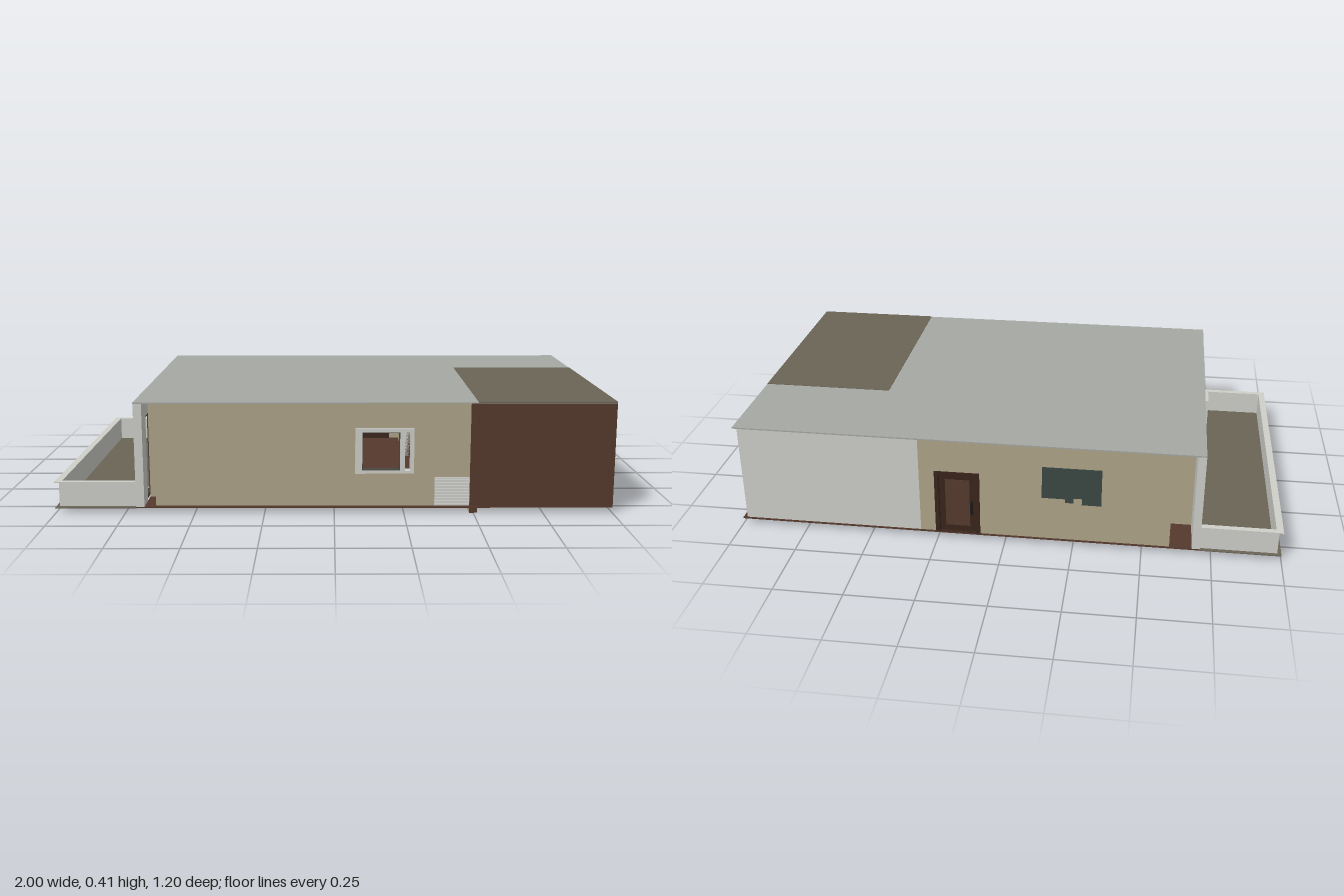
import * as THREE from 'three';

const mat = (name, color, side = THREE.FrontSide) => {
  const m = new THREE.MeshStandardMaterial({ color, side });
  m.name = name;
  return m;
};

export function createModel() {
  const white = mat('white plaster', 0xcfd0ca);
  const roofGrey = mat('roof grey', 0xa6a8a4);
  const beige = mat('beige plaster', 0xb0a58a);
  const brown = mat('brown', 0x563a2d);
  const olive = mat('olive brown', 0x6b6557);
  const doorBrown = mat('door brown', 0x3a251b);
  const frameDark = mat('dark frame', 0x4a4741);
  const glass = mat('dark glass', 0x3b4744);
  const black = mat('black', 0x1c1a19);

  const model = new THREE.Group();
  model.name = 'apartment';

  // Box given by its limits on each axis
  const box = (name, m, x0, x1, y0, y1, z0, z1, parent = model) => {
    const b = new THREE.Mesh(new THREE.BoxGeometry(x1 - x0, y1 - y0, z1 - z0), m);
    b.position.set((x0 + x1) / 2, (y0 + y1) / 2, (z0 + z1) / 2);
    b.name = name;
    parent.add(b);
    return b;
  };
  const rect = (C, u0, u1, y0, y1) => {
    const s = new C();
    s.moveTo(u0, y0); s.lineTo(u1, y0); s.lineTo(u1, y1); s.lineTo(u0, y1); s.closePath();
    return s;
  };
  // Pierced panel; axis 'x' runs along x from depth d toward +z,
  // axis 'z' runs along z from depth d toward -x
  const panel = (name, m, axis, d, t, lim, holes = []) => {
    const s = rect(THREE.Shape, ...lim);
    holes.forEach(h => s.holes.push(rect(THREE.Path, ...h)));
    const p = new THREE.Mesh(new THREE.ExtrudeGeometry(s, { depth: t, bevelEnabled: false }), m);
    if (axis === 'z') { p.rotation.y = -Math.PI / 2; p.position.x = d; } else p.position.z = d;
    p.name = name;
    model.add(p);
    return p;
  };
  const F = 0.025, T = 0.4;

  // Floor and roof
  box('floor', brown, -0.71, 1, 0.02, F, -0.595, 0.595);
  box('roof', roofGrey, -0.71, 1, T, 0.405, -0.595, 0.595);
  box('roofPatch', olive, 0.51, 1, 0.403, 0.4065, -0.21, 0.596);

  // Front wall with window opening
  panel('frontWall', beige, 'x', 0.555, 0.025, [-0.64, 0.495, F, T], [[0.09, 0.275, 0.15, 0.3]]);
  panel('frontWindowFrame', white, 'x', 0.55, 0.04, [0.075, 0.285, 0.145, 0.31], [[0.1, 0.235, 0.155, 0.295], [0.252, 0.272, 0.155, 0.295]]);
  panel('frontWindowSash', frameDark, 'x', 0.56, 0.02, [0.098, 0.237, 0.153, 0.297], [[0.103, 0.232, 0.158, 0.292]]);
  box('ventPanel', white, 0.36, 0.49, F, 0.13, 0.58, 0.584);
  for (let i = 0; i < 9; i++) box('ventSlat', white, 0.36, 0.49, 0.03 + i * 0.011, 0.035 + i * 0.011, 0.584, 0.589);

  // Brown room shell
  box('brownFront', brown, 0.515, 1, F, T, 0.575, 0.595);
  box('brownRight', brown, 0.98, 1, F, T, -0.2, 0.595);
  const lamp = new THREE.Mesh(new THREE.ExtrudeGeometry(
    new THREE.Shape([[0.018, 0.093], [0.055, 0.093], [0.06, 0.135], [0.013, 0.135]].map(p => new THREE.Vector2(...p))),
    { depth: 0.005, bevelEnabled: false }), white);
  lamp.rotation.y = -Math.PI / 2;
  lamp.position.x = 1.003;
  lamp.name = 'wallLamp';
  model.add(lamp);

  // Inner walls, reaching just below the floor
  const twoTone = [brown, beige, beige, beige, brown, beige];
  box('partitionSide', twoTone, 0.485, 0.513, 0, T, -0.03, 0.59);
  box('partitionSideEnd', twoTone, 0.485, 0.513, 0, T, -0.205, -0.18);
  box('partitionLintel', twoTone, 0.485, 0.513, 0.3, T, -0.18, -0.03);
  box('partitionRear', [beige, beige, white, white, brown, white], 0.3, 0.988, 0, T, -0.222, -0.2);
  box('rearDoorEdge', brown, 0.98, 0.992, F, 0.32, -0.22, -0.2);
  box('frontEdgeTrim', brown, 0.49, 0.515, F, 0.32, 0.585, 0.592);
  box('bedroomPartition', [white, beige, white, beige, white, white], 0.3, 0.33, 0.01, T, -0.575, -0.2);

  // Bedroom outer walls and window
  panel('bedroomRightWall', white, 'z', 0.985, 0.02, [-0.59, -0.222, F, T], [[-0.475, -0.325, 0.185, 0.335]]);
  panel('sideWindowFrame', white, 'z', 0.995, 0.035, [-0.485, -0.315, 0.175, 0.345], [[-0.475, -0.45, 0.185, 0.335], [-0.44, -0.327, 0.185, 0.335]]);
  panel('sideWindowSash', white, 'z', 0.985, 0.015, [-0.442, -0.325, 0.183, 0.337], [[-0.435, -0.332, 0.19, 0.33]]);
  box('bedroomRearWall', white, 0.315, 0.985, F, T, -0.59, -0.57);

  // Rear wall, entrance door and dark window
  panel('rearWall', beige, 'x', -0.59, 0.02, [-0.6, 0.315, F, T], [[0.1, 0.25, F, 0.268]]);
  panel('doorFrame', doorBrown, 'x', -0.594, 0.03, [0.092, 0.258, F, 0.276], [[0.108, 0.242, F + 0.002, 0.262]]);
  box('entranceDoor', doorBrown, 0.108, 0.242, F, 0.262, -0.582, -0.57);
  box('doorPanel', brown, 0.13, 0.22, 0.05, 0.24, -0.585, -0.582);
  box('doorHandle', black, 0.118, 0.126, 0.105, 0.155, -0.6, -0.584);
  const pane = new THREE.Shape([[-0.35, 0.175], [-0.28, 0.175], [-0.28, 0.2], [-0.25, 0.2], [-0.25, 0.18],
    [-0.22, 0.18], [-0.22, 0.195], [-0.135, 0.195], [-0.135, 0.32], [-0.35, 0.32]].map(p => new THREE.Vector2(...p)));
  const rearWindow = new THREE.Mesh(new THREE.ExtrudeGeometry(pane, { depth: 0.004, bevelEnabled: false }), glass);
  rearWindow.position.z = -0.593;
  rearWindow.name = 'rearWindow';
  model.add(rearWindow);

  // Balcony wall of the house with two openings
  const openings = [[-0.23, -0.09, F + 0.001, 0.34], [0.02, 0.51, F + 0.001, 0.34]];
  panel('balconySideWall', white, 'z', -0.68, 0.03, [-0.594, 0.594, F, T], openings);
  box('pier', white, -0.725, -0.68, F, 0.37, -0.07, 0.02);
  for (const [z0, z1, y0, y1] of openings) {
    const n = z1 - z0 > 0.3 ? 3 : 1, w = (z1 - z0) / n, holes = [];
    for (let i = 0; i < n; i++) holes.push([z0 + i * w + 0.012, z0 + (i + 1) * w - 0.012, y0 + 0.012, y1 - 0.012]);
    panel('slidingDoorFrame', frameDark, 'z', -0.685, 0.015, [z0, z1, y0, y1], holes);
  }

  // Recesses at both balcony-side corners
  box('frontRecessBack', beige, -0.68, -0.62, F, T, 0.44, 0.455);
  box('frontRecessSide', beige, -0.64, -0.62, F, T, 0.45, 0.575);
  box('rearRecessBack', beige, -0.68, -0.58, F, T, -0.43, -0.415);
  box('rearRecessSide', beige, -0.6, -0.58, F, T, -0.575, -0.42);

  // Balcony floor, parapet and flat coping
  box('balconyFloor', olive, -0.98, -0.71, 0.02, F, -0.575, 0.57);
  box('balconyBase', olive, -1, -0.71, 0.019, 0.022, -0.595, 0.595);
  box('parapetOuter', white, -0.985, -0.975, F, 0.115, -0.585, 0.58);
  box('copingOuter', white, -1, -0.975, 0.113, 0.117, -0.595, 0.595);
  for (const s of [-1, 1]) {
    const a = s * 0.585, b = s * 0.572, c = s * 0.595;
    box('parapetEnd', white, -0.985, -0.705, F, 0.115, Math.min(a, b), Math.max(a, b));
    box('copingEnd', white, -1, -0.705, 0.113, 0.117, Math.min(b, c), Math.max(b, c));
  }

  // Furniture seen through the openings
  const legs = (name, m, x, z, w, d, h) => {
    for (const i of [-1, 1]) for (const j of [-1, 1])
      box(name, m, x + i * w - 0.005, x + i * w + 0.005, F, h, z + j * d - 0.005, z + j * d + 0.005);
  };
  box('tableTop', white, -0.2, 0.02, 0.118, 0.126, 0.2, 0.34);
  legs('tableLeg', black, -0.09, 0.27, 0.095, 0.06, 0.118);
  for (const x of [-0.15, -0.03]) {
    box('chairSeat', black, x - 0.03, x + 0.03, 0.08, 0.088, 0.37, 0.43);
    box('chairBack', black, x - 0.03, x + 0.03, 0.12, 0.17, 0.427, 0.433);
    legs('chairLeg', black, x, 0.4, 0.025, 0.026, 0.1);
  }
  box('sofaBase', white, -0.5, -0.38, F, 0.08, 0.05, 0.35);
  box('sofaBack', white, -0.38, -0.35, F, 0.13, 0.05, 0.35);
  return model;
}
